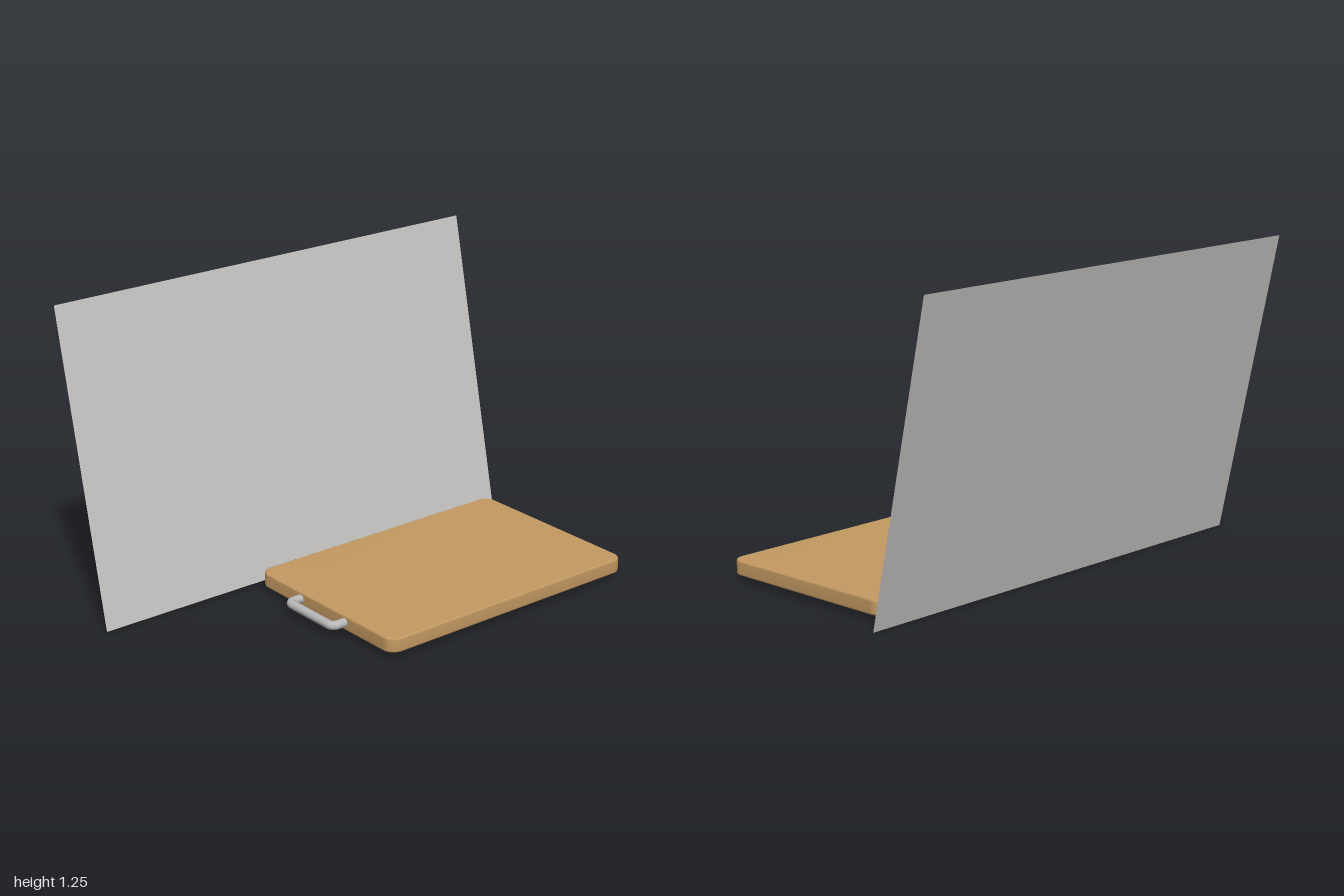
import * as THREE from 'three';

const panelGrey = new THREE.MeshStandardMaterial({ name: 'panelGrey', color: 0xc8c6c4, side: THREE.DoubleSide });
const boardTan = new THREE.MeshStandardMaterial({ name: 'boardTan', color: 0xc49a62, side: THREE.DoubleSide });
const handleGrey = new THREE.MeshStandardMaterial({ name: 'handleGrey', color: 0xb8b8b8 });

// Rounded-rectangle shell, open underneath; profile rows are [inset, y]
function openTray(halfX, halfZ, radius, profile, steps = 8) {
  const pos = [], index = [];
  const corners = [[1, 1], [-1, 1], [-1, -1], [1, -1]];
  for (const [inset, y] of profile) {
    corners.forEach(([sx, sz], c) => {
      for (let k = 0; k <= steps; k++) {
        const a = (c + k / steps) * Math.PI / 2;
        const r = radius - inset;
        pos.push(sx * (halfX - radius) + r * Math.cos(a), y, sz * (halfZ - radius) + r * Math.sin(a));
      }
    });
  }
  const n = 4 * (steps + 1);
  for (let i = 0; i < profile.length - 1; i++) {
    for (let j = 0; j < n; j++) {
      const a = i * n + j, b = i * n + (j + 1) % n;
      index.push(a, a + n, b, b, a + n, b + n);
    }
  }
  // Flat top as a fan
  const last = (profile.length - 1) * n, centre = pos.length / 3;
  pos.push(0, profile[profile.length - 1][1], 0);
  for (let j = 0; j < n; j++) index.push(centre, last + (j + 1) % n, last + j);
  const g = new THREE.BufferGeometry();
  g.setAttribute('position', new THREE.Float32BufferAttribute(pos, 3));
  g.setIndex(index);
  g.computeVertexNormals();
  return g;
}

// U-shaped bar with rounded corners, its legs reaching inside the board
function handlePath(xEnd, xBar, z0, z1, y, r) {
  const v = (x, z) => new THREE.Vector3(x, y, z);
  const path = new THREE.CurvePath();
  path.add(new THREE.LineCurve3(v(xEnd, z0), v(xBar + r, z0)));
  path.add(new THREE.QuadraticBezierCurve3(v(xBar + r, z0), v(xBar, z0), v(xBar, z0 + r)));
  path.add(new THREE.LineCurve3(v(xBar, z0 + r), v(xBar, z1 - r)));
  path.add(new THREE.QuadraticBezierCurve3(v(xBar, z1 - r), v(xBar, z1), v(xBar + r, z1)));
  path.add(new THREE.LineCurve3(v(xBar + r, z1), v(xEnd, z1)));
  return path;
}

export function createModel() {
  const model = new THREE.Group();
  model.name = 'boardWithBackPanel';
  const add = (name, geometry, material, x, y, z) => {
    const mesh = new THREE.Mesh(geometry, material);
    mesh.name = name;
    mesh.position.set(x, y, z);
    model.add(mesh);
    return mesh;
  };

  // Thin panel leaning back
  const rise = 1.25, lean = 0.27;
  const panel = add('backPanel', new THREE.PlaneGeometry(2, Math.hypot(rise, lean)), panelGrey, 0, rise / 2, -0.443);
  panel.rotation.x = -Math.atan2(lean, rise);

  // Board with softened edges
  const profile = [[0.008, 0.022], [0.002, 0.025], [0, 0.031], [0, 0.075], [0.002, 0.081], [0.008, 0.084]];
  add('board', openTray(0.611, 0.412, 0.05, profile), boardTan, 0.303, 0, 0.161);

  // Handle and its end caps
  const radius = 0.018, y = 0.056, xEnd = -0.185, z0 = 0.017, z1 = 0.292;
  add('handle', new THREE.TubeGeometry(handlePath(xEnd, -0.367, z0, z1, y, 0.028), 96, radius, 16), handleGrey, 0, 0, 0);
  for (const z of [z0, z1]) {
    const cap = add('handleEnd', new THREE.CircleGeometry(radius, 16), handleGrey, xEnd, y, z);
    cap.rotation.y = Math.PI / 2;
  }
  return model;
}
